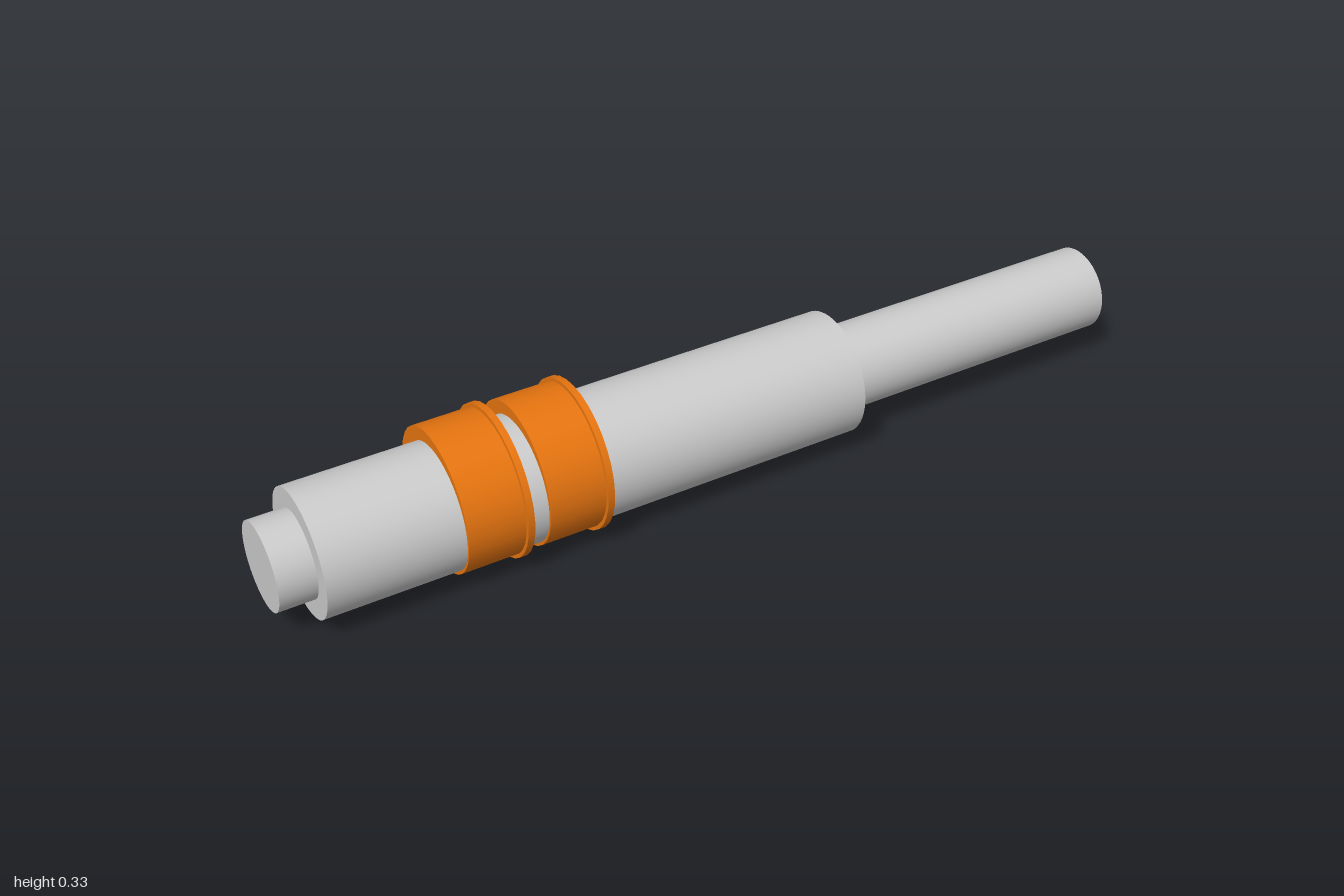
import * as THREE from 'three';

const grey = new THREE.MeshStandardMaterial({ color: 0xcccccc });
const orange = new THREE.MeshStandardMaterial({ color: 0xe87510 });

// Cylinder lying along x between x0 and x1
function bar(name, x0, x1, radius, y, z, material, sides) {
  const geometry = new THREE.CylinderGeometry(radius, radius, x1 - x0, sides);
  geometry.rotateZ(-Math.PI / 2);
  const mesh = new THREE.Mesh(geometry, material);
  mesh.name = name;
  mesh.position.set((x0 + x1) / 2, y, z);
  return mesh;
}

export function createModel() {
  const model = new THREE.Group();
  model.name = 'steppedShaft';

  // Stepped shaft, slightly off the axis of the collars
  const shaftY = 0.1625, shaftZ = 0.0135;
  model.add(bar('endStub', -1, -0.92, 0.095, shaftY, shaftZ, grey, 64));
  model.add(bar('shaftBody', -0.92, 0.315, 0.138, shaftY, shaftZ, grey, 64));
  model.add(bar('outputRod', 0.315, 1, 0.095, shaftY, shaftZ, grey, 64));

  // Two flanged collars, each a sleeve with a thin lip on its +x end
  for (const x of [-0.625, -0.445]) {
    const collar = new THREE.Group();
    collar.name = 'flangedCollar';
    collar.add(bar('collarSleeve', x, x + 0.126, 0.158, 0.1675, 0, orange, 32));
    collar.add(bar('collarFlange', x + 0.126, x + 0.141, 0.1665, 0.1675, 0, orange, 32));
    model.add(collar);
  }
  return model;
}
